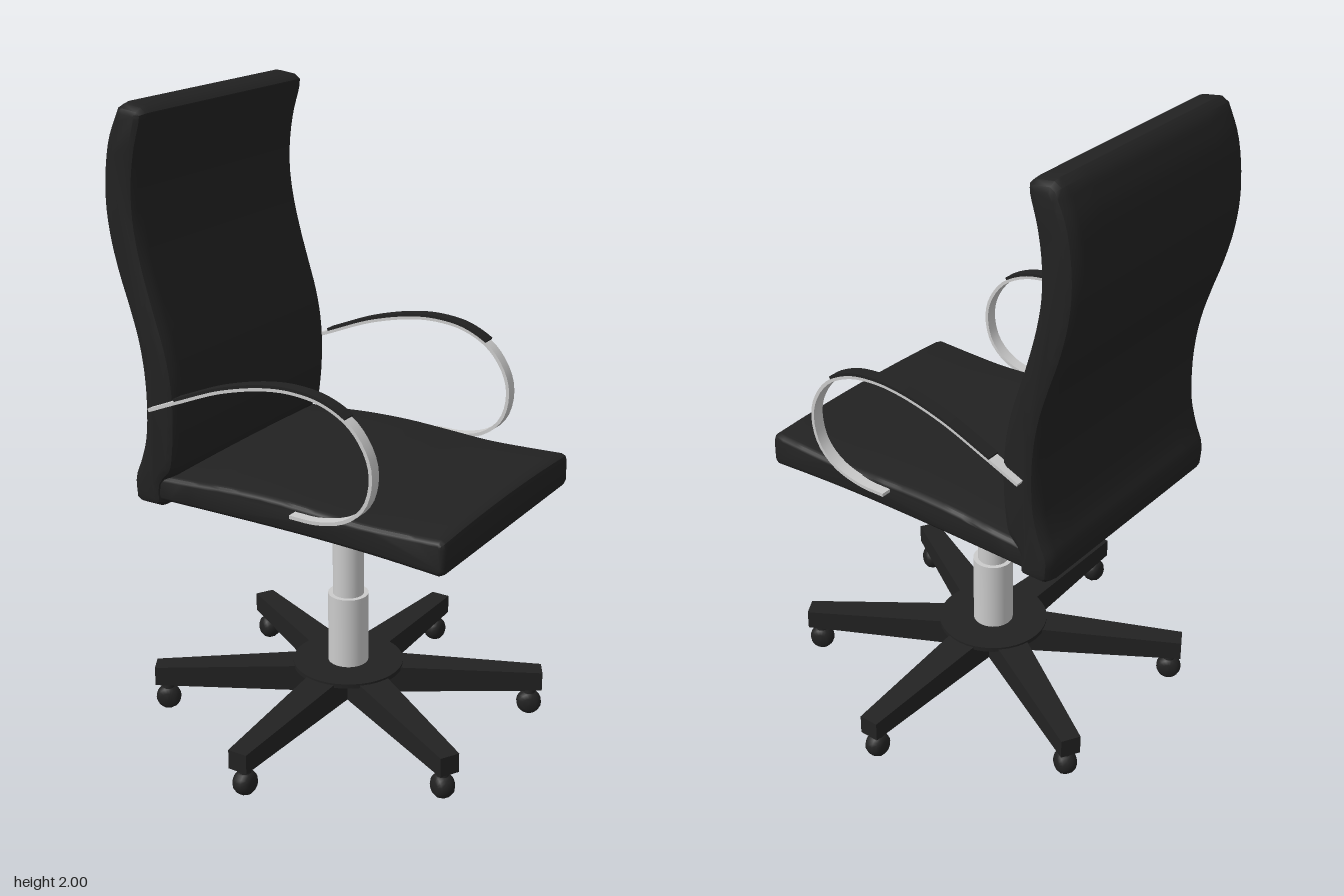
import * as THREE from 'three';
import { toCreasedNormals } from 'three/addons/utils/BufferGeometryUtils.js';

const black = new THREE.MeshStandardMaterial({ color: 0x222222 });
const grey = new THREE.MeshStandardMaterial({ color: 0xcccccc });
const CX = 0.014; // x of the column axis

function addMesh(parent, name, geometry, material) {
  const mesh = new THREE.Mesh(geometry, material);
  mesh.name = name;
  parent.add(mesh);
  return mesh;
}

const spline = (pts) => new THREE.CatmullRomCurve3(pts.map(([x, y]) => new THREE.Vector3(x, y, 0)));

// Side profile extruded across the width, with a rounded rim
function cushion(points, halfWidth, bevel, rim) {
  const shape = new THREE.Shape(points.map(([x, y]) => new THREE.Vector2(x, y)));
  const depth = 2 * (halfWidth - rim);
  const g = new THREE.ExtrudeGeometry(shape, {
    depth, steps: 8, bevelEnabled: true, bevelSize: bevel, bevelOffset: -bevel,
    bevelThickness: rim, bevelSegments: 3,
  });
  g.translate(0, 0, -depth / 2);
  return g;
}

// Flat band following part of a curve, offset sideways between a and b
function band(curve, t0, t1, a, b, width) {
  const sideA = [], sideB = [], n = 48;
  for (let i = 0; i <= n; i++) {
    const t = t0 + (t1 - t0) * i / n;
    const p = curve.getPointAt(t), d = curve.getTangentAt(t);
    sideA.push(new THREE.Vector2(p.x - d.y * a, p.y + d.x * a));
    sideB.push(new THREE.Vector2(p.x - d.y * b, p.y + d.x * b));
  }
  const shape = new THREE.Shape([...sideA, ...sideB.reverse()]);
  const g = new THREE.ExtrudeGeometry(shape, { depth: width, bevelEnabled: false });
  g.translate(0, 0, -width / 2);
  return toCreasedNormals(g, 0.6);
}

function makeSeat(parent) {
  const top = spline([[0.555, 0.897], [0.45, 0.893], [0.3, 0.89], [0.15, 0.898], [0, 0.905],
    [-0.15, 0.903], [-0.3, 0.893], [-0.44, 0.887]]).getPoints(28);
  const bottom = spline([[-0.44, 0.797], [-0.1, 0.799], [0.15, 0.797], [0.35, 0.79], [0.555, 0.777]]).getPoints(20);
  const outline = [...top, ...bottom].map((p) => [p.x, p.y]);
  outline.push([0.568, 0.784], [0.574, 0.797], [0.574, 0.875], [0.569, 0.89]);
  const g = cushion(outline, 0.41, 0.014, 0.02);
  // Slight crown across the upper face
  const p = g.attributes.position;
  for (let i = 0; i < p.count; i++) {
    if (p.getY(i) > 0.84) p.setY(i, p.getY(i) - 0.012 * (p.getZ(i) / 0.41) ** 2);
  }
  addMesh(parent, 'seat', toCreasedNormals(g, 0.7), black);
}

function makeBackrest(parent) {
  const rear = spline([[-0.505, 0.79], [-0.508, 0.86], [-0.485, 0.92], [-0.463, 1.0], [-0.456, 1.1], [-0.46, 1.2],
    [-0.476, 1.3], [-0.505, 1.4], [-0.538, 1.5], [-0.563, 1.6], [-0.575, 1.7], [-0.571, 1.8], [-0.552, 1.9],
    [-0.515, 1.985]]).getPoints(44);
  const front = spline([[-0.41, 1.975], [-0.412, 1.95], [-0.435, 1.87], [-0.45, 1.78], [-0.452, 1.68], [-0.438, 1.58],
    [-0.413, 1.48], [-0.383, 1.38], [-0.353, 1.28], [-0.335, 1.18], [-0.331, 1.08], [-0.337, 0.98],
    [-0.352, 0.9], [-0.392, 0.85], [-0.395, 0.79]]).getPoints(44);
  const outline = [...rear, { x: -0.49, y: 2 }, { x: -0.43, y: 1.992 }, ...front,
    { x: -0.41, y: 0.775 }, { x: -0.485, y: 0.775 }].map((p) => [p.x, p.y]).reverse();
  addMesh(parent, 'backrest', toCreasedNormals(cushion(outline, 0.42, 0.03, 0.045), 0.6), black);
}

function makeArmrests(parent) {
  const path = spline([[-0.415, 1.1], [-0.3, 1.147], [-0.15, 1.205], [0, 1.24], [0.1, 1.246], [0.2, 1.23],
    [0.29, 1.18], [0.345, 1.1], [0.357, 1.03], [0.335, 0.95], [0.275, 0.895], [0.18, 0.868], [0.085, 0.867]]);
  const frame = band(path, 0, 1, 0.005, -0.006, 0.038);
  const pad = band(path, 0.085, 0.565, 0.013, 0.004, 0.04);
  for (const [side, s] of [['left', -1], ['right', 1]]) {
    const arm = new THREE.Group();
    arm.name = side + 'Armrest';
    arm.position.z = s * 0.424;
    addMesh(arm, 'armFrame', frame, grey);
    addMesh(arm, 'armPad', pad, black);
    parent.add(arm);
  }
}

function makeColumn(parent) {
  for (const [name, r, y0, y1] of [['lowerColumn', 0.065, 0.17, 0.43], ['upperColumn', 0.05, 0.42, 0.79],
    ['seatPlate', 0.11, 0.775, 0.8]]) {
    addMesh(parent, name, new THREE.CylinderGeometry(r, r, y1 - y0, 40), grey).position.set(CX, (y0 + y1) / 2, 0);
  }
}

function makeBase(parent) {
  const base = new THREE.Group();
  base.name = 'base';
  base.position.x = CX;
  parent.add(base);

  // Hub: wide cap on a ring that is open underneath
  const hub = [[0, 0.16], [0.055, 0.16], [0.055, 0.1], [0.105, 0.1], [0.105, 0.178], [0.178, 0.178], [0.178, 0.193], [0, 0.193]]
    .map(([x, y]) => new THREE.Vector2(x, y));
  addMesh(base, 'hub', toCreasedNormals(new THREE.LatheGeometry(hub, 40), 0.6), black);

  // Spoke tapering in width and height towards its tip
  const r0 = 0.07, r1 = 0.628;
  const spoke = new THREE.BoxGeometry(1, 1, 1);
  const p = spoke.attributes.position;
  for (let i = 0; i < p.count; i++) {
    const outer = p.getX(i) > 0;
    p.setXYZ(i, outer ? r1 : r0, p.getY(i) < 0 ? 0.1 : outer ? 0.163 : 0.192, p.getZ(i) * (outer ? 0.064 : 0.11));
  }
  spoke.computeVertexNormals();

  // Rounded wheel profile, turned about the axle
  const wheel = new THREE.LatheGeometry([[0, -0.032], [0.022, -0.031], [0.034, -0.022], [0.04, -0.008], [0.04, 0.008],
    [0.034, 0.022], [0.022, 0.031], [0, 0.032]].map(([x, y]) => new THREE.Vector2(x, y)), 20);
  wheel.rotateX(Math.PI / 2);

  for (let i = 0; i < 6; i++) {
    const leg = new THREE.Group();
    leg.name = 'leg' + (i + 1);
    leg.rotation.y = Math.PI / 6 + i * Math.PI / 3;
    addMesh(leg, 'spoke', spoke, black);
    addMesh(leg, 'casterWheel', wheel, black).position.set(0.59, 0.045, 0);
    addMesh(leg, 'casterStem', new THREE.CylinderGeometry(0.016, 0.022, 0.04, 16), black).position.set(0.59, 0.085, 0);
    base.add(leg);
  }
}

export function createModel() {
  const chair = new THREE.Group();
  chair.name = 'officeChair';
  makeSeat(chair);
  makeBackrest(chair);
  makeArmrests(chair);
  makeColumn(chair);
  makeBase(chair);
  return chair;
}
